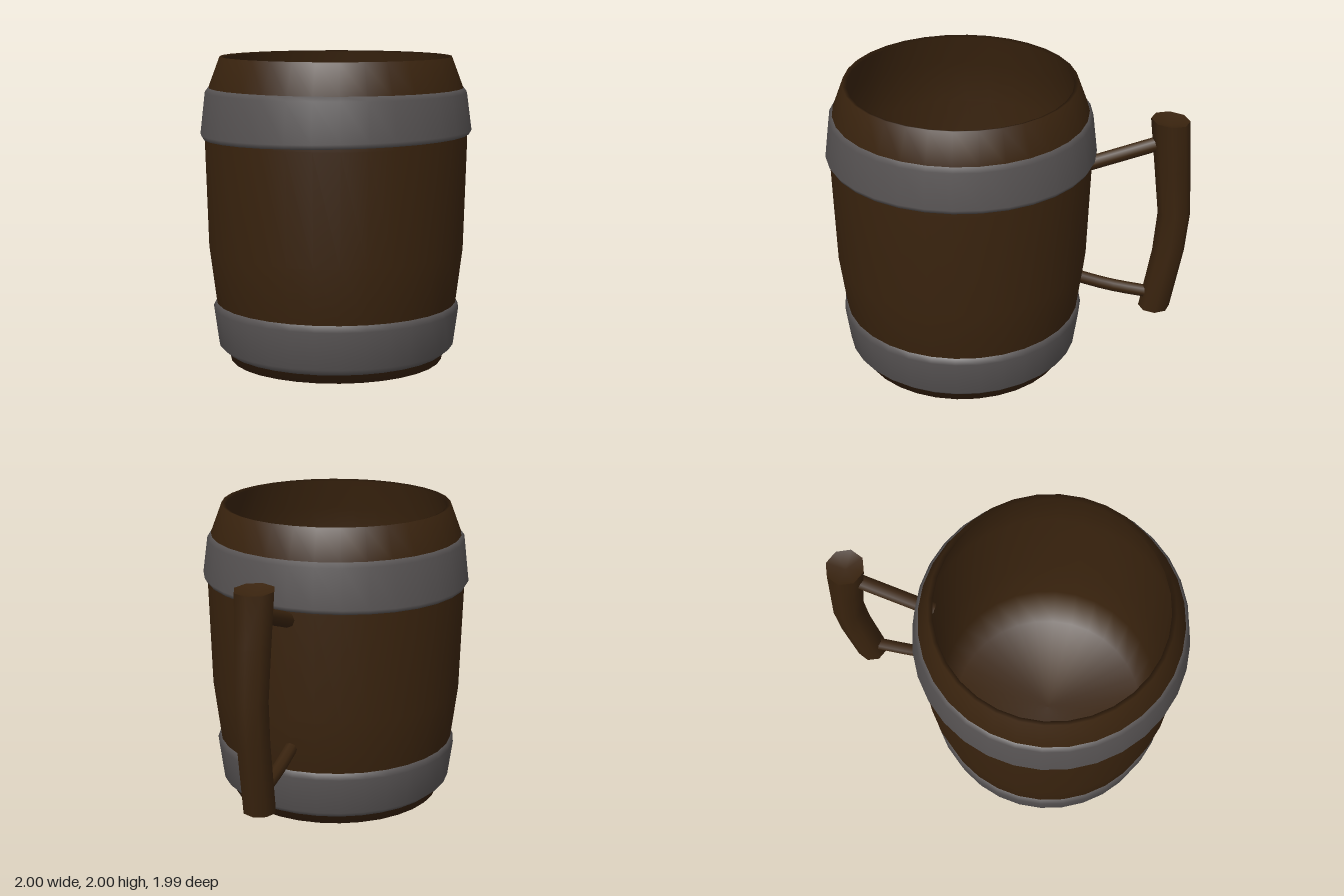
import * as THREE from 'three';
import { mergeVertices } from 'three/addons/utils/BufferGeometryUtils.js';

const wood = new THREE.MeshStandardMaterial({ name: 'darkWood', color: 0x39230e });
const iron = new THREE.MeshStandardMaterial({ name: 'greyIron', color: 0x575353 });

const CENTRE = new THREE.Vector3(-0.115, 0, 0.105);
const SIDES = 32;

function addMesh(parent, name, geometry, material) {
  const mesh = new THREE.Mesh(geometry, material);
  mesh.name = name;
  parent.add(mesh);
  return mesh;
}

function lathe(profile) {
  return new THREE.LatheGeometry(profile.map(([r, y]) => new THREE.Vector2(r, y)), SIDES);
}

// Grip: an eight-sided post whose rings follow a bowed path along the diagonal
function gripGeometry() {
  const rings = [ // y, x (= -z) of the centre, radius
    [1.75, 0.846, 0.127], [1.42, 0.868, 0.117], [1.07, 0.891, 0.108],
    [0.78, 0.876, 0.107], [0.335, 0.825, 0.106],
  ];
  const cylinder = new THREE.CylinderGeometry(1, 1, 1, 8, rings.length - 1);
  cylinder.deleteAttribute('uv');
  const geometry = mergeVertices(cylinder); // closes the seam, keeps the cap edges
  const p = geometry.attributes.position;
  for (let i = 0; i < p.count; i++) {
    const [y, c, r] = rings[Math.round((0.5 - p.getY(i)) * (rings.length - 1))];
    const x = p.getX(i), z = p.getZ(i);
    const atCentre = Math.hypot(x, z) < 0.01;
    const dish = atCentre && y > 1.5 ? -0.04 : 0; // hollowed top end
    const slant = y > 1.5 ? -0.006 * (x - z) : 0; // top end leans outward
    p.setXYZ(i, c + x * r, y + dish + slant, -c + z * r);
  }
  geometry.computeVertexNormals();
  return geometry;
}

// Peg joining the grip to the barrel
function pegGeometry(points, radius) {
  const curve = new THREE.CatmullRomCurve3(points.map(([d, y]) => new THREE.Vector3(d, y, -d)));
  return new THREE.TubeGeometry(curve, 6, radius, 8, false);
}

export function createModel() {
  const model = new THREE.Group();
  model.name = 'tankard';

  const barrel = new THREE.Group();
  barrel.name = 'barrel';
  barrel.position.copy(CENTRE);
  model.add(barrel);

  // Thin wooden shell: base, outer wall, rim, inner wall and floor
  addMesh(barrel, 'shell', lathe([
    [0, 0], [0.705, 0], [0.795, 0.39], [0.84, 0.75], [0.86, 1.47], [0.835, 1.79], [0.756, 2],
    [0.727, 1.99], [0.805, 1.78], [0.83, 1.47], [0.81, 0.755], [0.766, 0.4], [0.677, 0.03], [0, 0.03],
  ]), wood);

  // Iron hoops
  addMesh(barrel, 'lowerBand', lathe([
    [0.7, 0.05], [0.73, 0.06], [0.782, 0.105], [0.815, 0.35], [0.795, 0.39], [0.77, 0.395],
  ]), iron);
  const upper = lathe([
    [0.84, 1.485], [0.87, 1.485], [0.887, 1.515], [0.855, 1.77], [0.832, 1.8], [0.815, 1.8],
  ]);
  // The lower edge of the upper hoop dips slightly to one side
  const p = upper.attributes.position;
  for (let i = 0; i < p.count; i++) {
    if (p.getY(i) < 1.6) p.setY(i, p.getY(i) + 0.014 * (p.getX(i) + p.getZ(i)));
  }
  addMesh(barrel, 'upperBand', upper, iron);

  // Handle
  const handle = new THREE.Group();
  handle.name = 'handle';
  model.add(handle);
  addMesh(handle, 'grip', gripGeometry(), wood);
  addMesh(handle, 'upperPeg', pegGeometry([[0.45, 1.405], [0.6, 1.48], [0.81, 1.585]], 0.05), wood);
  addMesh(handle, 'lowerPeg', pegGeometry([[0.44, 0.56], [0.6, 0.495], [0.81, 0.44]], 0.043), wood);

  return model;
}
